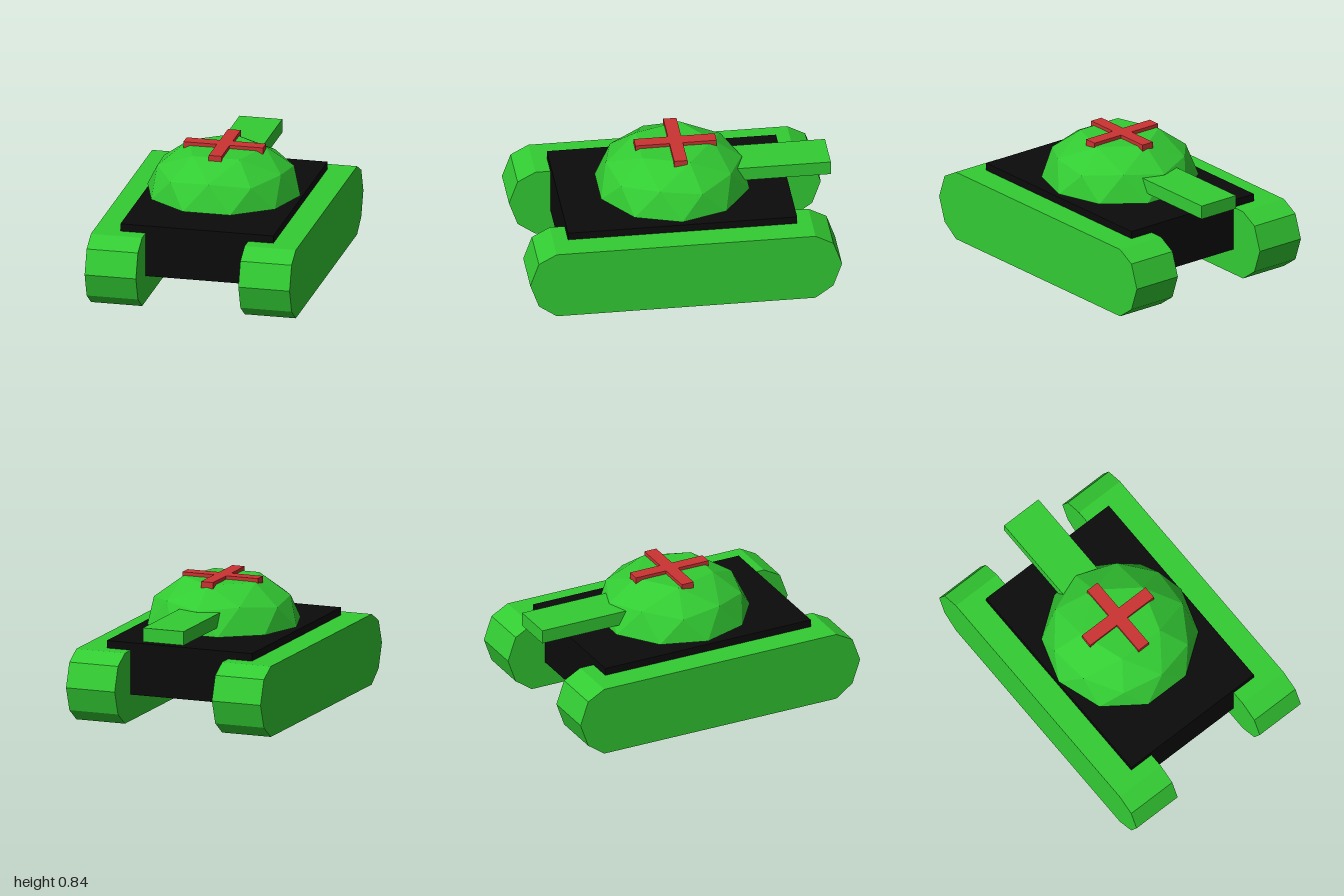
import * as THREE from 'three';

export function createModel() {
  const group = new THREE.Group();
  const makeMaterial = (name, color) => {
    const m = new THREE.MeshStandardMaterial({ color, flatShading: true });
    m.name = name;
    return m;
  };
  const green = makeMaterial('green', 0x33cc33);
  const black = makeMaterial('black', 0x0b0b0b);
  const red = makeMaterial('red', 0xcc3333);

  const add = (name, geometry, material) => {
    const mesh = new THREE.Mesh(geometry, material);
    mesh.name = name;
    group.add(mesh);
    return mesh;
  };
  // Box given by its limits on each axis
  const box = (name, material, [x0, x1], [y0, y1], [z0, z1]) =>
    add(name, new THREE.BoxGeometry(x1 - x0, y1 - y0, z1 - z0), material)
      .position.set((x0 + x1) / 2, (y0 + y1) / 2, (z0 + z1) / 2);

  // Hull
  box('hull', black, [-0.5, 0.5], [0.17, 0.508], [-0.735, 0.735]);

  // Tracks: chamfered side profile extruded across the width
  const half = [[0.83, 0], [0.945, 0.083], [1, 0.24], [0.945, 0.396], [0.83, 0.459]];
  const profile = [...half, ...half.map(([z, y]) => [-z, y]).reverse()];
  const trackShape = new THREE.Shape(profile.map(([z, y]) => new THREE.Vector2(z, y)));
  for (const [name, x] of [['leftTrack', 0.335], ['rightTrack', -0.67]]) {
    const geometry = new THREE.ExtrudeGeometry(trackShape, { depth: 0.335, bevelEnabled: false });
    geometry.rotateY(Math.PI / 2);
    add(name, geometry, green).position.x = x;
  }

  // Turret: faceted half dome with a five-sided flat top
  add('turret', createDome(), green);

  // Gun, pointing backwards
  box('gun', green, [-0.14, 0.14], [0.585, 0.675], [-1, -0.35]);

  // Cross on the turret roof
  box('crossLongBar', red, [-0.042, 0.042], [0.795, 0.838], [-0.28, 0.24]);
  box('crossShortBarLeft', red, [0.042, 0.26], [0.795, 0.838], [-0.064, 0.021]);
  box('crossShortBarRight', red, [-0.26, -0.042], [0.795, 0.838], [-0.064, 0.021]);

  return group;
}

function createDome() {
  const positions = [];
  // Point at a given angle (degrees from +z towards +x), radius and height
  const ring = (radius, y) => (deg) => {
    const a = THREE.MathUtils.degToRad(deg);
    return [radius * Math.sin(a), y, radius * Math.cos(a)];
  };
  const base = ring(0.5, 0.53);
  const corner = ring(0.447, 0.68);
  const middle = ring(0.425, 0.706);
  const roof = ring(0.263, 0.815);
  const top = [0, 0.816, 0];
  const bottom = [0, 0.53, 0];
  const tri = (a, b, c) => positions.push(...a, ...b, ...c);

  for (let k = 0; k < 5; k++) {
    const a = 72 * k; // angle of this segment's middle
    const L = a - 36, R = a + 36;
    // Lower band
    tri(base(a - 18), base(a + 18), middle(a));
    tri(base(a - 18), middle(a), corner(L));
    tri(base(a + 18), corner(R), middle(a));
    tri(base(a + 18), base(a + 54), corner(R));
    // Upper band
    tri(corner(L), middle(a), roof(L));
    tri(middle(a), corner(R), roof(R));
    tri(middle(a), roof(R), roof(L));
    // Roof and underside
    tri(roof(L), roof(R), top);
    tri(base(a + 18), base(a - 18), bottom);
    tri(base(a + 54), base(a + 18), bottom);
  }
  const geometry = new THREE.BufferGeometry();
  geometry.setAttribute('position', new THREE.Float32BufferAttribute(positions, 3));
  geometry.computeVertexNormals();
  return geometry;
}
